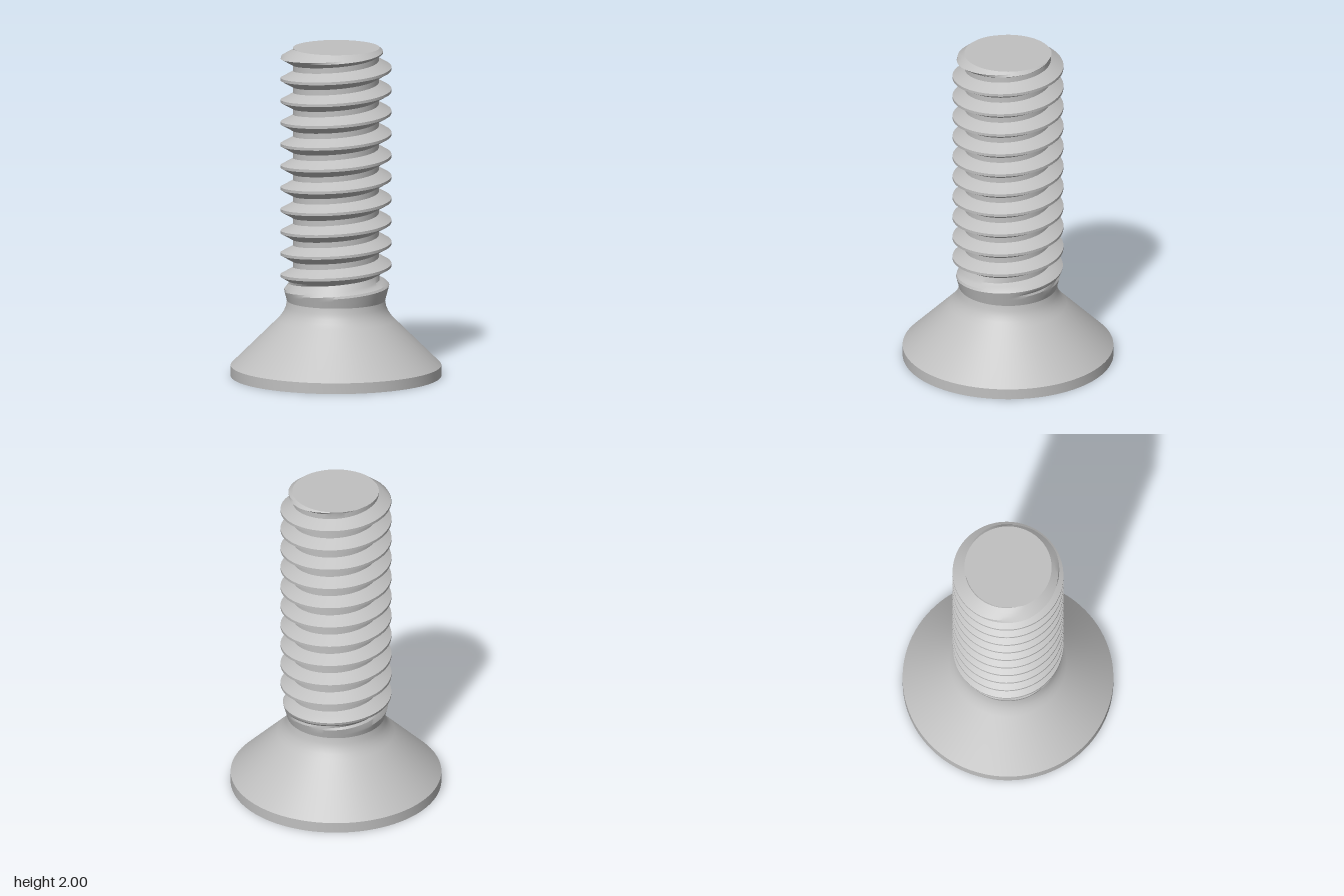
import * as THREE from 'three';
import { toCreasedNormals } from 'three/addons/utils/BufferGeometryUtils.js';

const SEGMENTS = 96;
const PITCH = 0.133;
const CREST = 0.333;
const ROOT = 0.258;
const NECK_Y = 0.46;
const TOP_Y = 2;
const clamp = THREE.MathUtils.clamp;

// Surface around the y axis from rows of rings; point(row, angle) gives [radius, y]
function ringSurface(rowCount, point) {
  const positions = [];
  const vertex = (row, i) => {
    const a = (i / SEGMENTS) * Math.PI * 2;
    const [r, y] = point(row, a);
    return new THREE.Vector3(r * Math.cos(a), y, -r * Math.sin(a));
  };
  const triangle = (a, b, c) => {
    const area = b.clone().sub(a).cross(c.clone().sub(a)).length();
    if (area > 1e-9) positions.push(...a.toArray(), ...b.toArray(), ...c.toArray());
  };
  for (let row = 0; row < rowCount - 1; row++) {
    for (let i = 0; i < SEGMENTS; i++) {
      const a = vertex(row, i), b = vertex(row, i + 1);
      const c = vertex(row + 1, i + 1), d = vertex(row + 1, i);
      triangle(a, b, c);
      triangle(a, c, d);
    }
  }
  const geometry = new THREE.BufferGeometry();
  geometry.setAttribute('position', new THREE.Float32BufferAttribute(positions, 3));
  return toCreasedNormals(geometry, 0.45);
}

// Helical 60 degree thread, with flared run-out at the neck and chamfered tip
function threadGeometry() {
  const keys = [-0.375, -0.27, -0.166, -0.0625, 0.0625, 0.166, 0.27, 0.375];
  const crestY = 1.883;
  const rows = [];
  for (let turn = -12; turn <= 2; turn++) for (const k of keys) rows.push([turn + k, Math.abs(k)]);

  const radiusAt = (y, angle) => {
    const turns = (y - crestY) / PITCH - angle / (Math.PI * 2);
    const u = Math.abs(turns - Math.round(turns));
    const thread = CREST - (CREST - ROOT) * clamp((u - 0.0625) / 0.3125, 0, 1);
    const runOut = CREST - (CREST - ROOT) * clamp((y - 0.5) / 0.1, 0, 1);
    const flare = 0.295 + (y - NECK_Y) * 0.27;
    const chamfer = 0.262 + (TOP_Y - y) * 1.25;
    return Math.min(Math.max(thread, runOut), flare, chamfer);
  };

  return ringSurface(rows.length + 1, (row, angle) => {
    if (row === rows.length) return [0, TOP_Y]; // closes the flat tip
    const y = clamp(crestY + PITCH * (rows[row][0] + angle / (Math.PI * 2)), NECK_Y, TOP_Y);
    return [radiusAt(y, angle), y];
  });
}

// Six-lobed recess with a conical lead-in, seen from below
function socketGeometry() {
  const depth = 0.24;
  return ringSurface(4, (row, angle) => {
    const lobe = 0.25 + 0.045 * Math.cos(6 * (angle - Math.PI / 6));
    return [
      [0, depth],
      [lobe, depth],
      [lobe, (CREST - lobe) * 0.5],
      [CREST, 0],
    ][row];
  });
}

// Countersunk head with a fillet into the neck
function headGeometry() {
  const profile = [
    [CREST, 0], [0.633, 0], [0.633, 0.065], [0.352, 0.343],
    [0.33, 0.368], [0.313, 0.395], [0.301, 0.425], [0.295, NECK_Y],
  ].map(([x, y]) => new THREE.Vector2(x, y));
  return toCreasedNormals(new THREE.LatheGeometry(profile, SEGMENTS), 0.45);
}

export function createModel() {
  const steel = new THREE.MeshStandardMaterial({ color: 0xc0c0c0 });
  steel.name = 'steel';
  const group = new THREE.Group();
  group.name = 'countersunkScrew';
  const add = (name, geometry) => {
    const mesh = new THREE.Mesh(geometry, steel);
    mesh.name = name;
    group.add(mesh);
  };
  add('head', headGeometry());
  add('socket', socketGeometry());
  add('threadedShank', threadGeometry());
  return group;
}
